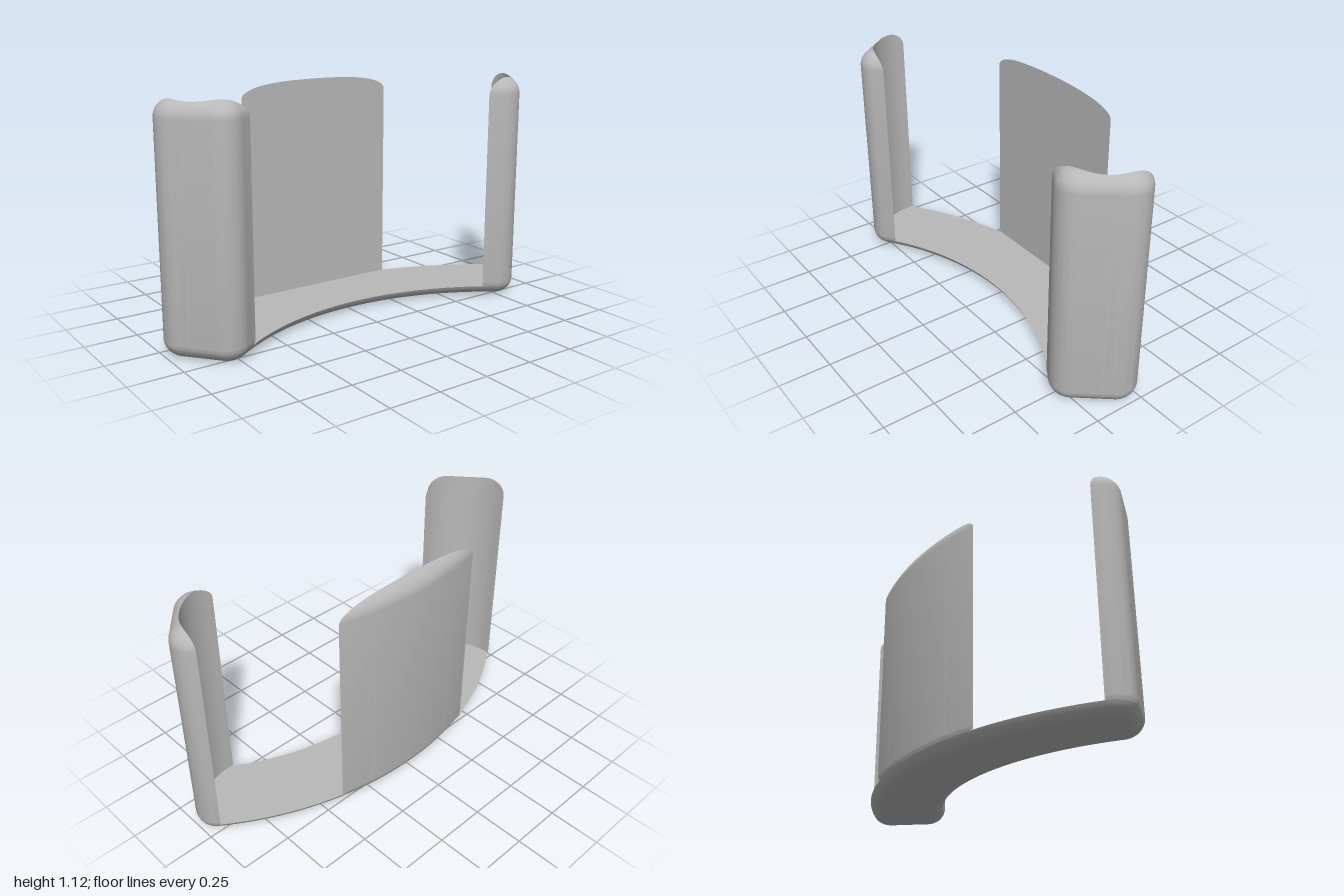
import * as THREE from 'three';
import { toCreasedNormals } from 'three/addons/utils/BufferGeometryUtils.js';

// Curved holder: an arc-shaped body with filleted edges, hollowed by a rounded pocket
const CZ = 1.31, R_OUT = 1.63, R_IN = 1.24;       // concentric arcs about (0, CZ)
const CORNER = 0.1, FILLET = 0.08;
const END = THREE.MathUtils.degToRad(39.8);       // half angle of the body
const HEIGHT = 1.12, FLOOR = 0.05;
const POCKET = { x: 0.95, z: 0.265, r: 0.25 };

const dir = a => [Math.sin(a), -Math.cos(a)];
const at = (c, r, a) => { const d = dir(a); return [c[0] + r * d[0], c[1] + r * d[1]]; };
const lerp = THREE.MathUtils.lerp;
const C = [0, CZ];
const bOut = END - Math.asin(CORNER / (R_OUT - CORNER));
const bIn = END - Math.asin(CORNER / (R_IN + CORNER));
const cOut = at(C, R_OUT - CORNER, bOut);
const cIn = at(C, R_IN + CORNER, bIn);
const SIDE = END + Math.PI / 2;

// Half outline, t = 0 (back middle) to 5 (front middle), inset by d along its normal
function outline(t, d) {
  const piece = THREE.MathUtils.clamp(Math.floor(t), 0, 4), f = t - piece;
  if (piece === 0) return at(C, R_OUT - d, f * bOut);
  if (piece === 1) return at(cOut, CORNER - d, lerp(bOut, SIDE, f));
  if (piece === 2) {
    const a = at(cOut, CORNER - d, SIDE), b = at(cIn, CORNER - d, SIDE);
    return [lerp(a[0], b[0], f), lerp(a[1], b[1], f)];
  }
  if (piece === 3) return at(cIn, CORNER - d, lerp(SIDE, bIn + Math.PI, f));
  return at(C, R_IN + d, bIn * (1 - f));
}

// Wall thickness at t: distance from the outline to the pocket
function thickness(t) {
  const inPocket = ([x, z]) => Math.hypot(
    Math.max(Math.abs(x) - POCKET.x + POCKET.r, 0),
    Math.max(Math.abs(z) - POCKET.z + POCKET.r, 0)) < POCKET.r;
  let lo = 0, hi = 0.1;
  for (let i = 0; i < 40; i++) {
    const mid = (lo + hi) / 2;
    if (inPocket(outline(t, mid))) hi = mid; else lo = mid;
  }
  return lo;
}

// Fillet rules: inset near the bottom, height near the top
const bottomInset = y => y >= FILLET ? 0 : FILLET - Math.sqrt(FILLET ** 2 - (FILLET - y) ** 2);
const topY = d => HEIGHT - FILLET + Math.sqrt(FILLET ** 2 - (FILLET - Math.min(d, FILLET)) ** 2);

// Skin between columns of points
function skin(columns) {
  const pos = [];
  const tri = (a, b, c) => {
    const area = new THREE.Triangle(a, b, c).getArea();
    if (area > 1e-10) for (const p of [a, b, c]) pos.push(p.x, p.y, p.z);
  };
  for (let i = 0; i < columns.length - 1; i++) {
    const p = columns[i], q = columns[i + 1];
    for (let j = 0; j < p.length - 1; j++) {
      tri(p[j], p[j + 1], q[j]);
      tri(q[j], p[j + 1], q[j + 1]);
    }
  }
  const g = new THREE.BufferGeometry();
  g.setAttribute('position', new THREE.Float32BufferAttribute(pos, 3));
  return toCreasedNormals(g, 0.6);
}

// Wall standing on the floor between two outline positions
function wall(t0, t1, steps, side = 1) {
  const columns = [];
  for (let i = 0; i <= steps; i++) {
    const t = lerp(t0, t1, (1 - Math.cos(Math.PI * i / steps)) / 2);
    const thick = thickness(t), column = [];
    const add = (d, y) => {
      const [x, z] = outline(t, Math.min(d, thick));
      column.push(new THREE.Vector3(side * x, y, z));
    };
    for (const y of [FLOOR, 0.06, 0.07, FILLET]) add(bottomInset(y), y);
    for (let k = 0; k <= 12; k++) {
      const d = Math.min(FILLET * (1 - Math.cos(k / 12 * Math.PI / 2)), thick);
      add(d, topY(d));
    }
    add(thick, topY(thick));
    add(thick, FLOOR);
    columns.push(column);
  }
  return skin(side > 0 ? columns : columns.reverse());
}

// Whole outline as a closed loop
function loop(d) {
  const half = [];
  for (let i = 0; i <= 120; i++) half.push(outline(i / 24, d));
  const mirrored = half.slice(1, -1).reverse().map(([x, z]) => [-x, z]);
  return [...half, ...mirrored];
}

// Flat floor face, facing up (1) or down (-1)
function plate(d, y, up) {
  const shape = new THREE.Shape(loop(d).map(([x, z]) => new THREE.Vector2(x, -up * z)));
  return new THREE.ShapeGeometry(shape).rotateX(-up * Math.PI / 2).translate(0, y, 0);
}

export function createModel() {
  const group = new THREE.Group();
  const grey = new THREE.MeshStandardMaterial({ color: 0xb8b8b8, side: THREE.DoubleSide });
  grey.name = 'plain grey';
  const add = (name, geometry) => {
    const mesh = new THREE.Mesh(geometry, grey);
    mesh.name = name;
    group.add(mesh);
  };

  // Floor with rounded lower edge
  const rings = [];
  for (let k = 0; k <= 8; k++) {
    const y = FLOOR * (k / 8) ** 2;
    rings.push(loop(bottomInset(y)).map(([x, z]) => new THREE.Vector3(x, y, z)));
  }
  const columns = rings[0].map((_, i) => rings.map(r => r[i]));
  add('floorEdge', skin([...columns, columns[0]]));
  add('floorTop', plate(bottomInset(FLOOR), FLOOR, 1));
  add('floorBottom', plate(FILLET, 0, -1));

  // Flat-faced back panel
  const tBack = Math.acos((CZ + POCKET.z) / R_OUT) / bOut;
  add('backPanel', wall(-tBack, tBack, 64));

  // Scooped end walls
  const tStart = Math.asin(POCKET.x / R_OUT) / bOut;
  const tStop = 5 - Math.acos((CZ - POCKET.z) / R_IN) / bIn;
  add('leftEndWall', wall(tStart, tStop, 80, 1));
  add('rightEndWall', wall(tStart, tStop, 80, -1));
  return group;
}
